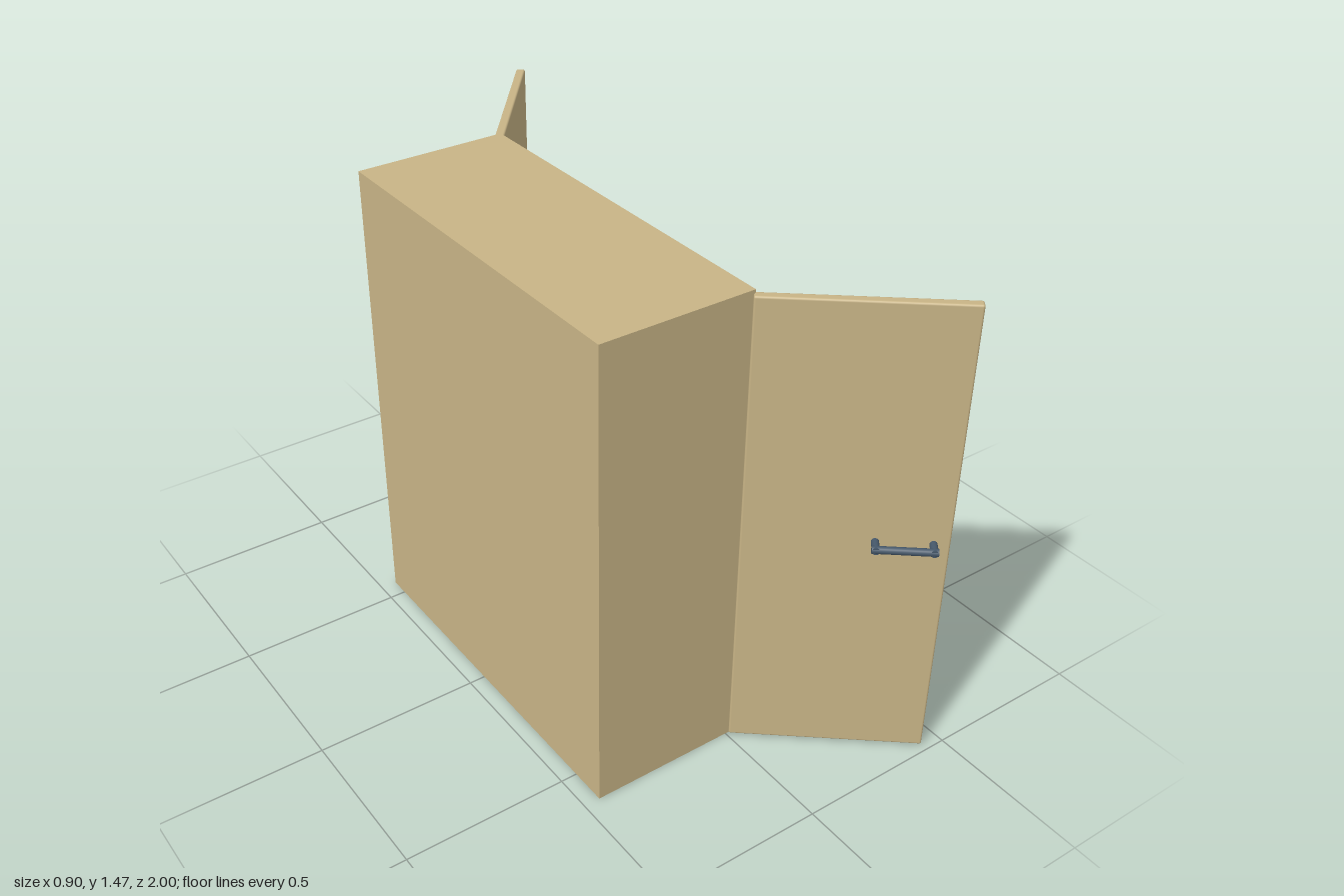
import * as THREE from 'three';
import { RoundedBoxGeometry } from 'three/addons/geometries/RoundedBoxGeometry.js';

export function createModel() {
  const model = new THREE.Group();
  model.name = 'wardrobe';

  const wood = new THREE.MeshStandardMaterial({ color: 0xc8b486 });
  wood.name = 'light wood';
  const steel = new THREE.MeshStandardMaterial({ color: 0x46586a });
  steel.name = 'blue grey steel';

  // Box given by its lower and upper limits; a radius rounds the edges
  function box(name, [x0, x1], [y0, y1], [z0, z1], parent = model, radius = 0) {
    const size = [x1 - x0, y1 - y0, z1 - z0];
    const geometry = radius
      ? new RoundedBoxGeometry(...size, 2, radius)
      : new THREE.BoxGeometry(...size);
    const mesh = new THREE.Mesh(geometry, wood);
    mesh.name = name;
    mesh.position.set((x0 + x1) / 2, (y0 + y1) / 2, (z0 + z1) / 2);
    parent.add(mesh);
  }

  // Round bar between two points
  function bar(name, from, to, radius, parent) {
    const a = new THREE.Vector3(...from), b = new THREE.Vector3(...to);
    const dir = b.clone().sub(a);
    const mesh = new THREE.Mesh(new THREE.CylinderGeometry(radius, radius, dir.length(), 16), steel);
    mesh.name = name;
    mesh.position.copy(a).add(b).multiplyScalar(0.5);
    mesh.quaternion.setFromUnitVectors(new THREE.Vector3(0, 1, 0), dir.normalize());
    parent.add(mesh);
  }

  // Carcass, open towards +x
  const back = -0.45, front = 0.018, H = 1.467, zMin = -0.56, zMax = 0.615, t = 0.011;
  const depth = [back, front], inner = [t, H - t];
  box('bottomPanel', depth, [0, t], [zMin, zMax]);
  box('topPanel', depth, [H - t, H], [zMin, zMax]);
  box('leftWall', depth, inner, [zMax - t, zMax]);
  box('rightWall', depth, inner, [zMin, zMin + t]);
  box('backPanel', [back, back + t], inner, [zMin + t, zMax - t]);
  box('divider', [back + t, front], inner, [0.027, 0.04]);

  // Shelves on one side, hanging rail on the other
  for (const y of [0.3, 0.739, 1.122]) {
    box('shelf', [back + t, -0.02], [y - 0.016, y + 0.016], [zMin + t, 0.027], model, 0.007);
  }
  bar('hangingRail', [-0.215, 1.242, 0.04], [-0.215, 1.242, zMax - t], 0.018, model);

  // Open doors; side is the local z direction of the outer face
  function door(name, z, angle, side) {
    const group = new THREE.Group();
    group.name = name;
    group.position.set(0.01, 0, z);
    group.rotation.y = angle;
    box('doorPanel', [0, 0.557], [0.01, 1.458], [-0.014, 0.014], group, 0.006);

    // U-shaped pull handle
    const y = 0.735, r = 0.011, u0 = 0.358, u1 = 0.512, out = side * 0.051;
    bar('handleGrip', [u0 - r, y, out], [u1 + r, y, out], r, group);
    for (const u of [u0, u1]) {
      bar('handleFoot', [u, y, side * 0.012], [u, y, out + side * r * 0.8], r, group);
    }
    model.add(group);
  }
  door('leftDoor', 0.617, THREE.MathUtils.degToRad(-39.7), 1);
  door('rightDoor', -0.557, THREE.MathUtils.degToRad(50.9), -1);

  return model;
}
